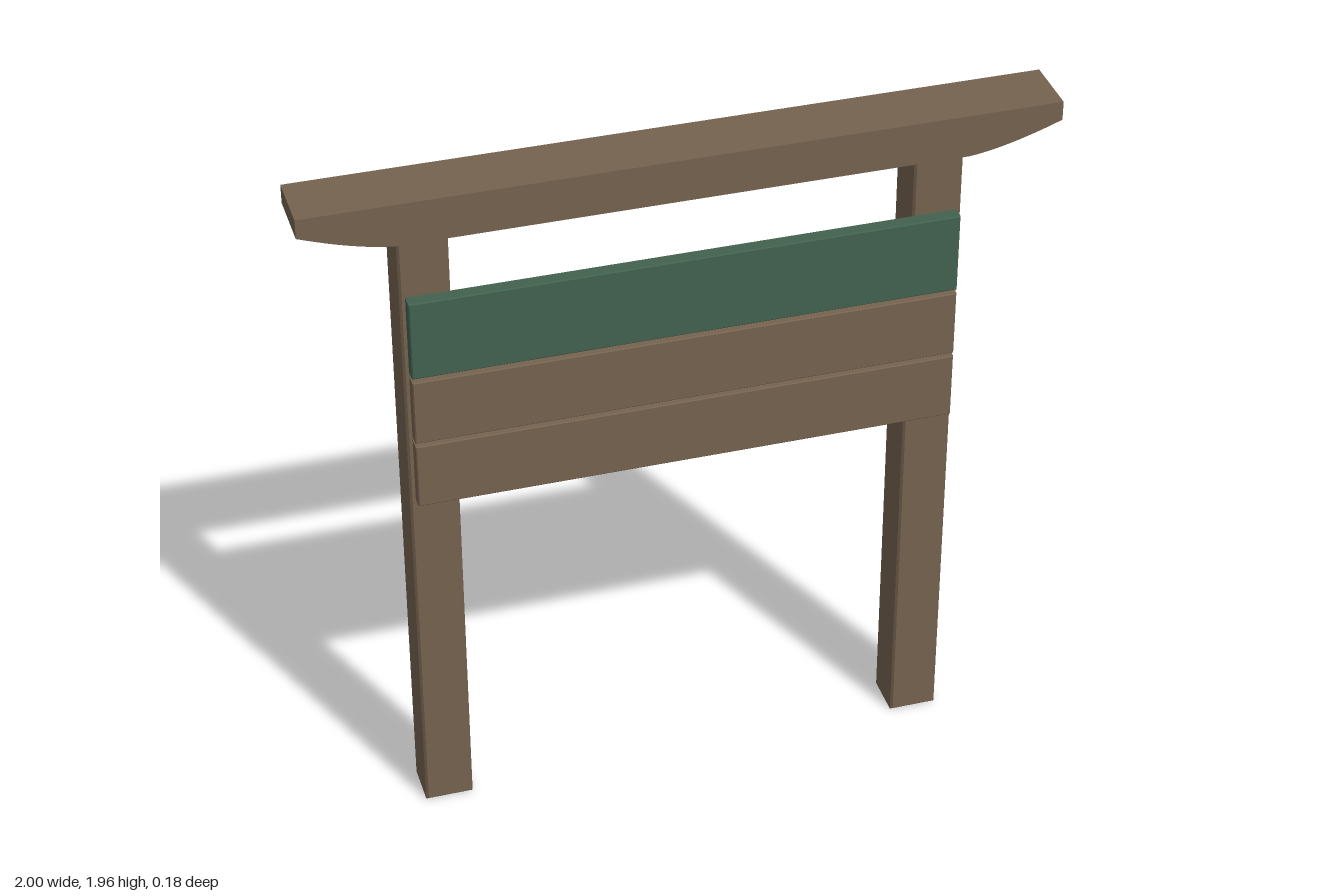
import * as THREE from 'three';

const wood = new THREE.MeshStandardMaterial({ color: 0x75624f, flatShading: true });
const green = new THREE.MeshStandardMaterial({ color: 0x42614f, flatShading: true });

// Box given by its limits, with small chamfers on all edges
function chamferedBox(name, x0, x1, y0, y1, z0, z1, c, material) {
  const w = (x1 - x0) / 2 - c, h = (y1 - y0) / 2 - c;
  const shape = new THREE.Shape();
  shape.moveTo(-w, -h).lineTo(w, -h).lineTo(w, h).lineTo(-w, h).closePath();
  const geo = new THREE.ExtrudeGeometry(shape, {
    depth: z1 - z0 - 2 * c, bevelThickness: c, bevelSize: c, bevelSegments: 1,
  });
  geo.translate((x0 + x1) / 2, (y0 + y1) / 2, z0 + c);
  const mesh = new THREE.Mesh(geo, material);
  mesh.name = name;
  return mesh;
}

export function createModel() {
  const group = new THREE.Group();
  group.name = 'signFrame';

  // Two square posts
  for (const [name, x] of [['rightPost', -0.68], ['leftPost', 0.68]]) {
    group.add(chamferedBox(name, x - 0.066, x + 0.066, 0, 1.84, -0.08, 0.052, 0.006, wood));
  }

  // Three boards fixed to the front of the posts, the top one painted
  const boards = [
    ['topBoard', 1.437, 1.664, green],
    ['middleBoard', 1.237, 1.426, wood],
    ['bottomBoard', 1.038, 1.227, wood],
  ];
  for (const [name, y0, y1, material] of boards) {
    group.add(chamferedBox(name, -0.732, 0.732, y0, y1, 0.052, 0.091, 0.003, material));
  }

  // Cap beam with undersides curving up towards the ends
  const cap = new THREE.Shape();
  cap.moveTo(-0.75, 1.837).lineTo(0.75, 1.837);
  cap.quadraticCurveTo(0.85, 1.846, 1, 1.903);
  cap.lineTo(1, 1.956).lineTo(-1, 1.956).lineTo(-1, 1.903);
  cap.quadraticCurveTo(-0.85, 1.846, -0.75, 1.837);
  const capGeo = new THREE.ExtrudeGeometry(cap, { depth: 0.173, bevelEnabled: false, curveSegments: 8 });
  capGeo.translate(0, 0, -0.09);
  const beam = new THREE.Mesh(capGeo, wood);
  beam.name = 'capBeam';
  group.add(beam);

  return group;
}
